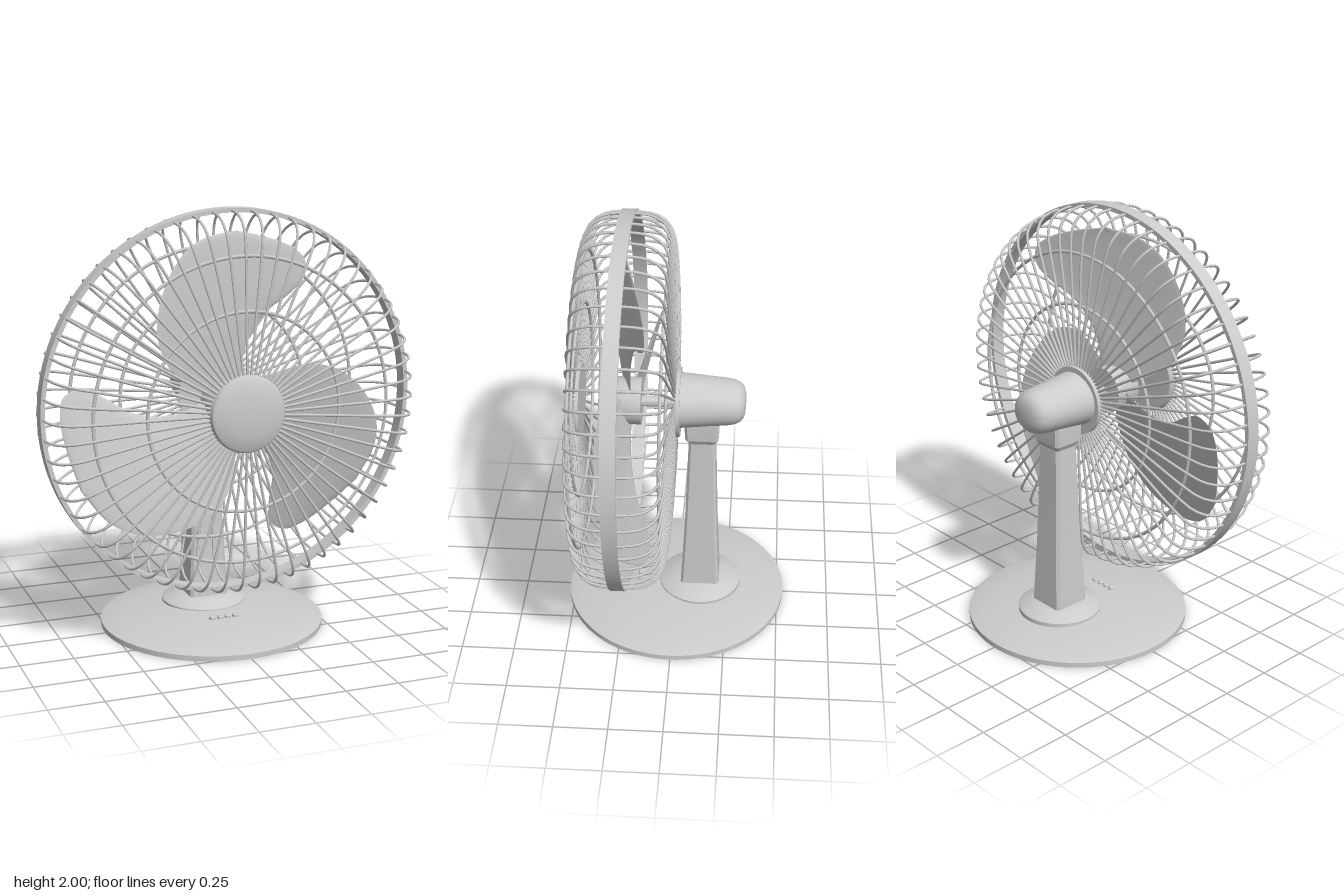
import * as THREE from 'three';
import { toCreasedNormals } from 'three/addons/utils/BufferGeometryUtils.js';

const material = new THREE.MeshStandardMaterial({ color: 0xcccccc });
const AXIS_Y = 1.12; // height of the fan axis
const WIRES = 60;

function add(parent, name, geometry, x = 0, y = 0, z = 0) {
  const mesh = new THREE.Mesh(geometry, material);
  mesh.name = name;
  mesh.position.set(x, y, z);
  parent.add(mesh);
  return mesh;
}

// Turned part from [radius, height] pairs; edges sharper than 35 degrees stay crisp
function turned(profile, segments = 64) {
  const points = profile.map(([r, h]) => new THREE.Vector2(r, h));
  return toCreasedNormals(new THREE.LatheGeometry(points, segments), 0.6);
}

// Turned part whose axis runs along z
const turnedZ = (profile, segments) => turned(profile, segments).rotateX(Math.PI / 2);

// Skin over closed loops of points, stacked from bottom to top
function loft(loops, crease) {
  const n = loops[0].length;
  const index = [];
  for (let i = 0; i < loops.length - 1; i++) {
    for (let j = 0; j < n; j++) {
      const a = i * n + j, b = i * n + (j + 1) % n;
      index.push(a, a + n, b, b, a + n, b + n);
    }
  }
  const geometry = new THREE.BufferGeometry().setFromPoints(loops.flat());
  geometry.setIndex(index);
  geometry.computeVertexNormals();
  return toCreasedNormals(geometry, crease);
}

// Rectangle with bevelled corners, half sizes w and d
function bevelledLoop(w, d, y, z) {
  const b = 0.012;
  return [[w, -d + b], [w, d - b], [w - b, d], [-w + b, d], [-w, d - b], [-w, -d + b], [-w + b, -d], [w - b, -d]]
    .map(([px, pz]) => new THREE.Vector3(px, y, z + pz));
}

const curve2 = (pts) => new THREE.CatmullRomCurve3(pts.map(([x, y]) => new THREE.Vector3(x, y, 0)));

// Petal blade: thin lens sections between its two edge curves, pitched about its length
function bladeGeometry() {
  const left = curve2([[-0.07, 0.03], [-0.185, 0.09], [-0.311, 0.2], [-0.367, 0.35],
    [-0.342, 0.52], [-0.25, 0.675], [-0.13, 0.752], [0.04, 0.775]]);
  const right = curve2([[0.06, 0.06], [0.09, 0.24], [0.19, 0.385], [0.33, 0.465],
    [0.41, 0.53], [0.415, 0.615], [0.34, 0.68], [0.2, 0.735], [0.04, 0.775]]);
  const loops = [];
  const steps = 40, around = 32;
  for (let i = 0; i <= steps; i++) {
    const l = left.getPoint(i / steps), r = right.getPoint(i / steps);
    const loop = [];
    for (let k = 0; k < around; k++) {
      const a = (k / around) * Math.PI * 2;
      const s = (1 + Math.cos(a)) / 2;
      const p = l.clone().lerp(r, s);
      const camber = 0.06 * s * (1 - s) * l.distanceTo(r);
      p.z = 0.225 - 0.27 * p.x + camber + 0.006 * Math.sin(a);
      loop.push(p);
    }
    loops.push(loop);
  }
  return loft(loops, 0.9);
}

function createBase() {
  const base = new THREE.Group();
  base.name = 'base';
  add(base, 'baseDisc', turned([[0, 0], [0.53, 0], [0.53, 0.025], [0.51, 0.032],
    [0.4, 0.05], [0.28, 0.064], [0.15, 0.074], [0, 0.078]], 96));
  add(base, 'collar', turned([[0.2, 0.05], [0.2, 0.08], [0.185, 0.09], [0.15, 0.1],
    [0.13, 0.11], [0, 0.112]]), 0, 0, -0.115);
  // Row of push buttons
  for (let i = 0; i < 4; i++) {
    add(base, 'button', turned([[0.016, 0], [0.016, 0.012], [0.012, 0.017], [0, 0.018]], 16),
      -0.057 + i * 0.038, 0.068, 0.175);
  }
  return base;
}

function createCage() {
  const cage = new THREE.Group();
  cage.name = 'cage';
  add(cage, 'rimBand', turnedZ([[0.86, 0.2], [0.88, 0.2], [0.88, 0.267], [0.86, 0.267], [0.86, 0.2]], 120));

  // Bent guard wires as [radius, z], repeated around the axis
  const profiles = {
    frontWire: [[0.14, 0.462], [0.45, 0.447], [0.7, 0.436], [0.79, 0.42], [0.84, 0.38], [0.864, 0.32], [0.87, 0.25]],
    rearWire: [[0.1, 0.0], [0.45, 0.015], [0.7, 0.026], [0.79, 0.042], [0.84, 0.083], [0.864, 0.143], [0.87, 0.215]],
  };
  for (const [name, profile] of Object.entries(profiles)) {
    const path = new THREE.CatmullRomCurve3(profile.map(([r, z]) => new THREE.Vector3(r, 0, z)));
    const wire = new THREE.TubeGeometry(path, 24, 0.0065, 6);
    for (let i = 0; i < WIRES; i++) {
      add(cage, name, wire).rotation.z = (i / WIRES) * Math.PI * 2;
    }
  }

  // Two stiffening hoops inside each guard
  for (const [r, front, rear] of [[0.45, 0.438, 0.024], [0.69, 0.427, 0.035]]) {
    const hoop = new THREE.TorusGeometry(r, 0.008, 6, 96);
    add(cage, 'frontHoop', hoop, 0, 0, front);
    add(cage, 'rearHoop', hoop, 0, 0, rear);
  }

  add(cage, 'frontCap', turnedZ([[0, 0.44], [0.165, 0.44], [0.175, 0.45], [0.175, 0.468], [0.168, 0.482],
    [0.15, 0.491], [0.1, 0.501], [0.05, 0.506], [0, 0.507]]));
  add(cage, 'rearPlate', turnedZ([[0, -0.02], [0.162, -0.02], [0.162, 0.008], [0, 0.008]]));
  return cage;
}

function createRotor() {
  const rotor = new THREE.Group();
  rotor.name = 'rotor';
  add(rotor, 'shaft', turnedZ([[0.025, 0], [0.025, 0.2]], 24));
  add(rotor, 'bladeHub', turnedZ([[0, 0.16], [0.11, 0.16], [0.11, 0.285], [0.1, 0.3], [0.08, 0.307], [0, 0.31]]));
  const blade = bladeGeometry();
  for (let i = 0; i < 3; i++) {
    add(rotor, 'blade', blade).rotation.z = (i / 3) * Math.PI * 2;
  }
  return rotor;
}

export function createModel() {
  const fan = new THREE.Group();
  fan.name = 'deskFan';
  fan.add(createBase());

  // Tapered post with a flared saddle under the motor
  add(fan, 'post', loft([
    bevelledLoop(0.095, 0.094, 0.09, -0.118),
    bevelledLoop(0.08, 0.077, 0.45, -0.12),
    bevelledLoop(0.066, 0.062, 0.93, -0.122),
    bevelledLoop(0.08, 0.077, 0.955, -0.122),
    bevelledLoop(0.083, 0.08, 1.0, -0.122),
    bevelledLoop(0.083, 0.08, 1.06, -0.122),
  ], 0.3));

  // Motor housing, slightly flattened in height
  const motor = add(fan, 'motorHousing', turnedZ([[0, -0.322], [0.05, -0.32], [0.08, -0.312], [0.1, -0.294],
    [0.112, -0.27], [0.118, -0.24], [0.128, -0.13], [0.14, -0.01], [0, -0.01]]), 0, 1.132, 0);
  motor.scale.y = 0.9;

  const head = new THREE.Group();
  head.name = 'fanHead';
  head.position.y = AXIS_Y;
  head.add(createCage(), createRotor());
  fan.add(head);
  return fan;
}
